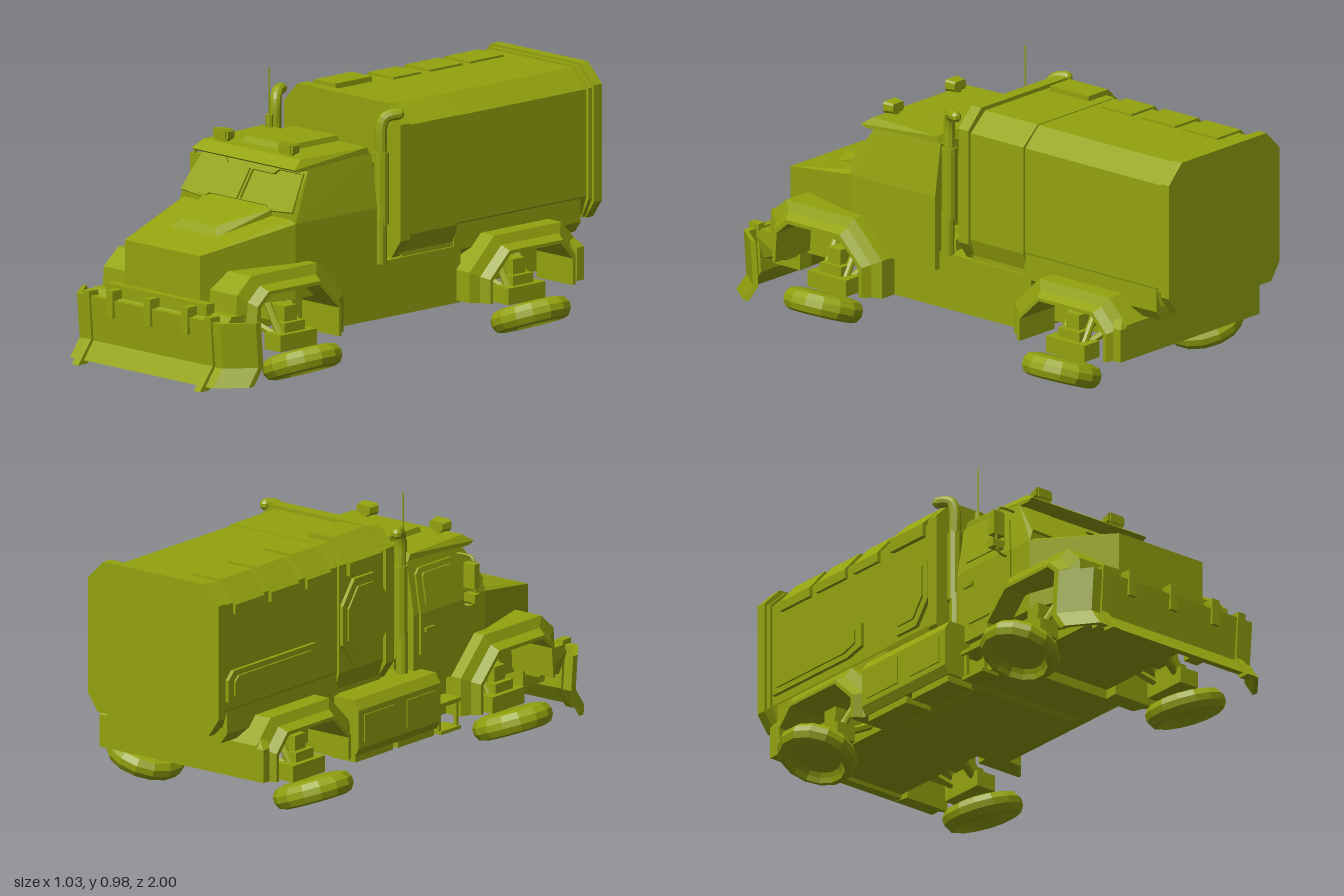
import * as THREE from 'three';
import { ConvexGeometry } from 'three/addons/geometries/ConvexGeometry.js';

export function createModel() {
  const truck = new THREE.Group();
  truck.name = 'armouredTruck';
  const olive = new THREE.MeshStandardMaterial({ color: 0x94a30e, flatShading: true });
  olive.name = 'olivePaint';

  const add = (name, geo) => {
    const m = new THREE.Mesh(geo, olive);
    m.name = name;
    truck.add(m);
    return m;
  };
  const V = (x, y, z) => new THREE.Vector3(x, y, z);
  const hull = (name, pts) => add(name, new ConvexGeometry(pts.map(p => V(...p))));
  // hull symmetric about x = 0
  const symHull = (name, pts) => hull(name, pts.flatMap(([x, y, z]) => [[x, y, z], [-x, y, z]]));
  // box from its limits
  const box = (name, x0, x1, y0, y1, z0, z1) => {
    const g = new THREE.BoxGeometry(Math.abs(x1 - x0), y1 - y0, Math.abs(z1 - z0));
    return add(name, g.translate((x0 + x1) / 2, (y0 + y1) / 2, (z0 + z1) / 2));
  };
  // cylinder between two points
  const rod = (name, a, b, r, n = 8) => {
    const p = V(...a), q = V(...b), d = q.clone().sub(p);
    const m = add(name, new THREE.CylinderGeometry(r, r, d.length(), n));
    m.position.copy(p).add(q).multiplyScalar(0.5);
    m.quaternion.setFromUnitVectors(V(0, 1, 0), d.normalize());
    return m;
  };
  const tube = (name, pts, r, seg, n = 8) =>
    add(name, new THREE.TubeGeometry(new THREE.CatmullRomCurve3(pts.map(p => V(...p)), false, 'centripetal'), seg, r, n));

  // Cab, hood and roof
  symHull('cab', [[.293, .28, .1], [.293, .55, .1], [.263, .74, .1],
    [.293, .28, .5], [.293, .55, .5], [.28, .588, .5], [.26, .74, .4]]);
  symHull('hood', [[.19, .28, .87], [.19, .475, .87], [.27, .562, .5], [.293, .55, .5], [.293, .28, .5]]);
  symHull('hoodScoop', [[.115, .49, .72], [.115, .508, .72], [.09, .542, .695], [.135, .597, .49], [.175, .588, .49], [.17, .5, .5]]);
  symHull('roof', [[.262, .725, .1], [.262, .765, .12], [.262, .725, .455], [.262, .735, .475], [.245, .765, .43]]);
  symHull('roofHatch', [[.115, .76, .11], [.11, .785, .12], [.115, .76, .37], [.11, .785, .355]]);

  // Windscreen panes with raised frames
  const lean = Math.atan2(.1, .152);
  for (const s of [-1, 1]) {
    const pts = [[.004, .593], [.14, .593], [.162, .578], [.282, .586], [.255, .712], [.135, .712], [.118, .695], [.004, .695]]
      .map(([x, y]) => new THREE.Vector2(s * x, (y - .588) / Math.cos(lean)));
    const c = new THREE.Vector2(s * .135, .062 / Math.cos(lean));
    const frame = new THREE.Shape(pts);
    frame.holes.push(new THREE.Path(pts.map(p => p.clone().sub(c).multiplyScalar(.94).add(c))));
    const g = new THREE.ExtrudeGeometry(frame, { depth: .009, bevelEnabled: false });
    add('windscreenFrame', g.rotateX(-lean).translate(0, .588, .5));
  }

  // Plates that follow the right wall of the cab
  const wallX = y => -(.293 - Math.max(0, y - .55) * .155);
  const cabPlate = (name, zy, t) => hull(name, zy.flatMap(([z, y]) => [[wallX(y) + .01, y, z], [wallX(y) - t, y, z]]));
  cabPlate('doorLower', [[.13, .4], [.17, .34], [.3, .34], [.4, .43], [.4, .55], [.13, .55]], .008);
  cabPlate('doorUpper', [[.13, .55], [.4, .55], [.37, .68], [.33, .71], [.15, .71], [.13, .69]], .008);
  cabPlate('doorWindow', [[.16, .58], [.37, .58], [.345, .67], [.32, .69], [.17, .69], [.16, .68]], .014);
  box('doorHandle', -.31, -.29, .48, .495, .15, .2);

  // Mirrors on the right
  tube('mirrorFrame', [[-.25, .71, .38], [-.325, .71, .38], [-.339, .7, .38], [-.339, .54, .38], [-.325, .53, .38], [-.28, .53, .38]], .005, 24, 6);
  box('largeMirror', -.362, -.312, .6, .69, .355, .385);
  box('smallMirror', -.365, -.315, .55, .58, .355, .385);

  // Roof lamps with chamfered corners, and aerial
  for (const s of [-1, 1]) {
    hull('roofLamp', [[-.037, .78], [-.037, .805], [-.029, .813], [.029, .813], [.037, .805], [.037, .78], [.029, .77], [-.029, .77]]
      .flatMap(([x, y]) => [[s * .165 + x, y, .425], [s * .165 + x * .8, .79 + (y - .79) * .8, .385]]));
    box('lampLens', s * .165 - .028, s * .165 + .028, .777, .806, .42, .431);
    box('lampFoot', s * .165 - .012, s * .165 + .012, .755, .775, .39, .415);
  }
  rod('aerialBase', [-.222, .75, .13], [-.222, .81, .13], .013);
  rod('aerial', [-.222, .8, .13], [-.222, .98, .13], .003, 6);

  // Cargo body from eight-sided sections
  const octagon = (name, h, top, bot, ys, z0, z1) => symHull(name, [z0, z1].flatMap(z =>
    [[top, ys[0], z], [h, ys[1], z], [h, ys[2], z], [bot, ys[3], z]]));
  octagon('cargoBody', .272, .2, .25, [.883, .815, .43, .36], -.05, -.96);
  octagon('cargoFrontSection', .282, .205, .26, [.886, .82, .425, .355], -.04, -.305);
  octagon('frontFlange', .295, .225, .25, [.9, .83, .41, .345], -.012, -.058);
  octagon('rearFlange', .295, .225, .25, [.9, .83, .41, .345], -.962, -1);
  octagon('rearFlangeStep', .284, .21, .25, [.891, .82, .42, .35], -.945, -.965);
  box('bodyConnector', -.17, .17, .36, .68, -.02, .11);

  // Roof covers wrapping over the right shoulder
  [[-.085, -.265, .014, -.11], [-.35, -.485, 0, -.09], [-.53, -.69, 0, -.09], [-.725, -.89, 0, -.09]].forEach(([z0, z1, up, xi]) =>
    hull('roofCover', [z0, z1].flatMap(z => [[xi, .87, z], [xi, .891 + up, z], [-.215, .891 + up, z],
      [-.285 - up, .81 + up, z], [-.285 - up, .775, z], [-.26, .775, z]])));

  // Right wall equipment
  const wallPlate = (name, zy, x) => hull(name, zy.flatMap(([z, y]) => [[-.26, y, z], [x, y, z]]));
  const hex = (cz, cy, w, h) => [[-1, -.45], [-1, .45], [-.45, 1], [.45, 1], [1, .45], [1, -.45], [.45, -1], [-.45, -1]]
    .map(([a, b]) => [cz + a * w, cy + b * h]);
  wallPlate('sideHatch', hex(-.18, .6, .12, .16), -.296);
  wallPlate('sideHatchPanel', hex(-.18, .6, .095, .13), -.303);
  wallPlate('lowerLocker', [[-.44, .48], [-.44, .57], [-.9, .57], [-.93, .54], [-.93, .46], [-.52, .46]], -.286);
  wallPlate('lowerLockerLid', [[-.47, .5], [-.47, .55], [-.88, .55], [-.9, .53], [-.9, .48], [-.53, .48]], -.293);

  // Chassis
  box('chassis', -.27, .27, .14, .345, -.33, .33);
  box('chassisCore', -.2, .2, .175, .42, -.82, .82);
  symHull('rearTray', [[.27, .43, -.3], [.27, .33, -.3], [.27, .43, -.92], [.27, .34, -.92], [.24, .3, -.92], [.24, .3, -.3]]);
  box('cargoSkirt', -.262, .262, .34, .43, -.3, -.05);
  // full-width wall joining the rear arches
  symHull('rearValance', [-.805, -.84].flatMap(z => [[.34, .31, z + .02], [.37, .28, z], [.37, .16, z]]));

  // Right tool locker and step
  symHull('bellyPlate', [[.24, .15, -.3], [.22, .125, -.28], [.24, .15, .15], [.22, .125, .13]]);
  hull('toolLocker', [-.32, .14].flatMap(z => [[-.25, .14, z], [-.365, .14, z], [-.382, .17, z], [-.382, .31, z], [-.36, .345, z], [-.25, .345, z]]));
  [[-.31, -.1], [-.07, .13]].forEach(([z0, z1]) => {
    box('lockerLid', -.387, -.38, .19, .29, z0 + .02, z1 - .02);
    box('lockerFoot', -.36, -.25, .115, .15, z0, z1);
  });
  box('stepPlate', -.345, -.26, .2, .215, .18, .3);
  box('lowerStep', -.345, -.27, .1, .112, .19, .3);
  for (const z of [.195, .295]) box('stepHanger', -.335, -.322, .1, .21, z - .006, z + .006);

  // Faceted wheel arches with a flared lip, built segment by segment around the opening
  const arches = {
    front: { c: [.57, .15], p: [[.31, .14], [.31, .28], [.44, .41], [.76, .41], [.83, .35], [.84, .2]] },
    rear: { c: [-.575, .13], p: [[-.31, .15], [-.31, .26], [-.43, .375], [-.76, .375], [-.84, .29], [-.84, .16]] },
  };
  const archBody = [[.2, 1], [.338, 1], [.353, .86], [.353, .74], [.2, .74]];
  const archLip = [[.34, .86], [.353, .86], [.385, .79], [.385, .74], [.34, .74]];
  const wheelProfile = [[0, -.04], [.1, -.042], [.13, -.034], [.145, -.012], [.145, .012], [.132, .034], [.112, .041],
    [.102, .024], [.09, .01], [0, .01]].map(p => new THREE.Vector2(...p));
  for (const s of [-1, 1]) {
    for (const [end, { c, p }] of Object.entries(arches)) {
      const section = (shape, q) => shape.map(([x, k]) => [s * x, c[1] + (q[1] - c[1]) * k, c[0] + (q[0] - c[0]) * k]);
      for (let i = 0; i < p.length - 1; i++) {
        hull(end + 'Fender', [...section(archBody, p[i]), ...section(archBody, p[i + 1])]);
        hull(end + 'FenderLip', [...section(archLip, p[i]), ...section(archLip, p[i + 1])]);
      }

      // Folded wheel with its suspension
      const z = end === 'front' ? .55 : -.57;
      const wheel = add(end + 'Wheel', new THREE.LatheGeometry(wheelProfile, 14));
      wheel.position.set(s * .378, .077, z);
      wheel.rotation.z = s * (Math.PI + .35);
      box('hubMount', s * .28, s * .36, .12, .18, z - .09, z + .09);
      box('hubUpright', s * .28, s * .34, .13, .215, z - .05, z + .05);
      box('suspensionLink', s * .19, s * .32, .21, .27, z - .03, z + .03);
      for (const d of [-1, 1]) {
        rod('suspensionArm', [s * .18, .22, z + d * .09], [s * .33, .15, z + d * .04], .014, 6);
        rod('shockAbsorber', [s * .22, .33, z + d * .05], [s * .33, .15, z + d * .05], .014, 8);
      }
    }

    // Exhaust stack
    rod('exhaustLower', [s * .268, .34, .062], [s * .268, .5, .062], .024, 10);
    rod('exhaustMuffler', [s * .268, .48, .055], [s * .268, .74, .055], .027, 10);
    tube('exhaustTip', [[s * .268, .72, .055], [s * .268, .83, .055], [s * .274, .862, .045], [s * .287, .872, .022], [s * .297, .873, 0]], .021, 14, 10);
    add('exhaustCap', new THREE.SphereGeometry(.021, 8, 5)).position.set(s * .297, .873, 0);
    box('exhaustBracket', s * .17, s * .26, .36, .4, .03, .08);
  }

  // Bumper and plough mount
  symHull('bumper', [[.35, .28, .79], [.35, .28, .87], [.35, .2, .79], [.33, .17, .87], [.3, .17, .79], [.35, .25, .89]]);
  box('ploughBeam', -.255, .255, .27, .315, .86, .9);
  for (const s of [-1, 1]) box('ploughArm', s * .18, s * .24, .12, .2, .78, .905);

  // Plough blade: curved profile swept across a centre span and two swept-back wings
  const blade = [[.938, .267], [.925, .105], [.972, .04]];
  const columns = [[-.44, -.1], [-.362, 0], [.362, 0], [.44, -.1]];
  for (let i = 0; i < 3; i++) for (let j = 0; j < 2; j++) {
    const pts = [];
    for (const [x, dz] of [columns[i], columns[i + 1]])
      for (const [z, y] of [blade[j], blade[j + 1]]) pts.push([x, y, z + dz], [x, y, z + dz - .025]);
    hull(i === 1 ? 'ploughBlade' : 'ploughWing', pts);
  }
  for (const s of [-1, 1]) {
    const x = s * .308, ribs = [[.947, .285], [.935, .11], [1, .025]];
    for (let j = 0; j < 2; j++)
      hull('ploughRib', [ribs[j], ribs[j + 1]].flatMap(([z, y]) => [-.016, .016].flatMap(d => [[x + d, y, z], [x + d, y, z - .045]])));
  }
  for (const x of [-.19, 0, .19]) {
    box('ploughHook', x - .016, x + .016, .205, .3, .92, .946);
    box('ploughHookTop', x - .016, x + .016, .27, .303, .87, .946);
  }
  return truck;
}
